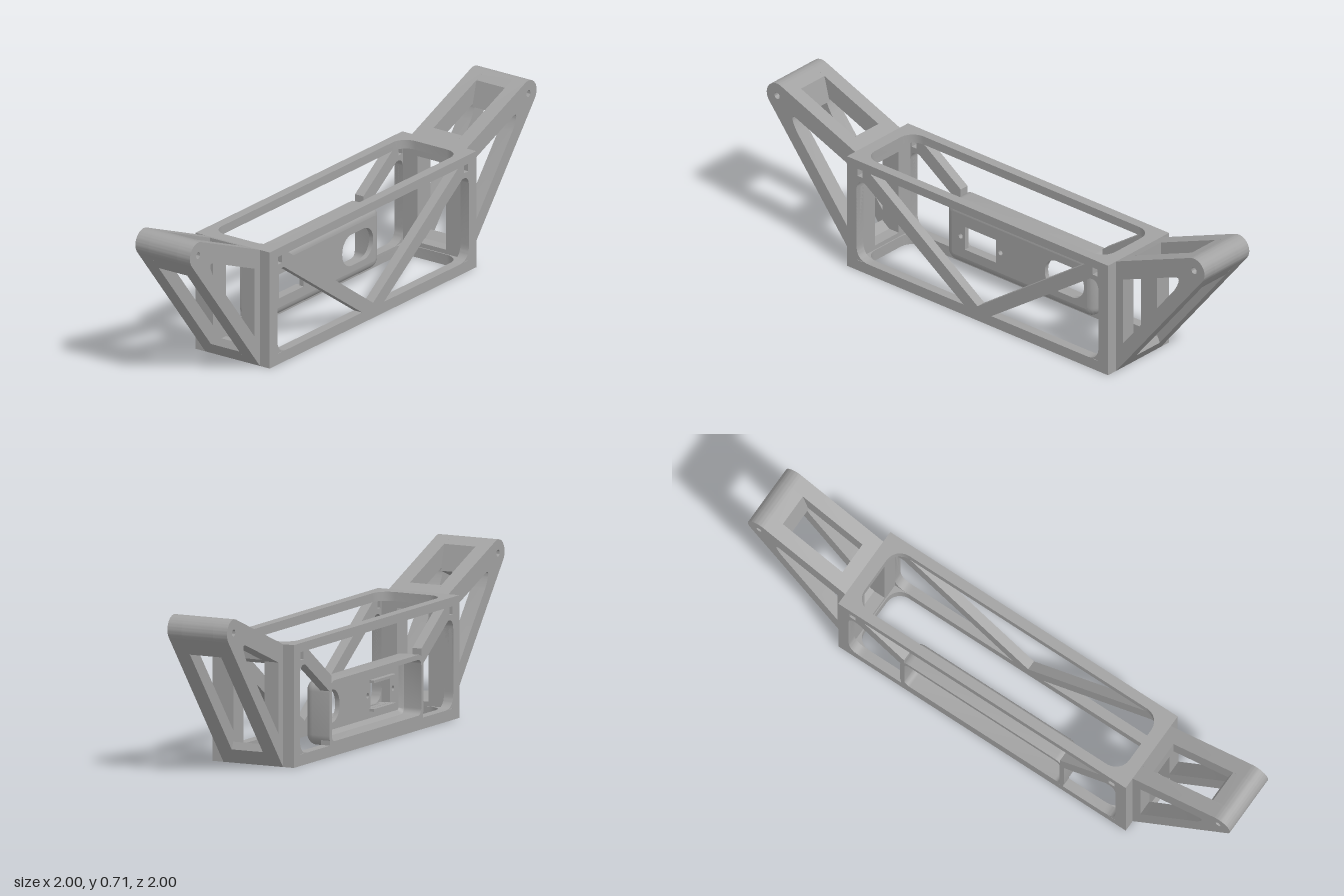
import * as THREE from 'three';
import { toCreasedNormals } from 'three/addons/utils/BufferGeometryUtils.js';

const grey = new THREE.MeshStandardMaterial({ color: 0xa2a2a2 });
grey.name = 'grey plastic';

const HALF_L = 0.755, HALF_W = 0.2, H = 0.54, RAIL = 0.045;

function mesh(name, geo) {
  const m = new THREE.Mesh(toCreasedNormals(geo, 0.6), grey);
  m.name = name;
  return m;
}

function poly(points, Type = THREE.Shape) {
  return new Type(points.map(([x, y]) => new THREE.Vector2(x, y)));
}

// counter-clockwise rounded rectangle points
function roundedPoints(cx, cy, hw, hh, r, n = 6) {
  const pts = [];
  [[1, -1], [1, 1], [-1, 1], [-1, -1]].forEach(([sx, sy], k) => {
    for (let i = 0; i <= n; i++) {
      const a = (k - 1 + i / n) * Math.PI / 2;
      pts.push([cx + sx * (hw - r) + r * Math.cos(a), cy + sy * (hh - r) + r * Math.sin(a)]);
    }
  });
  return pts;
}

const rect = (x0, y0, x1, y1) => [[x0, y0], [x1, y0], [x1, y1], [x0, y1]];

function circle(x, y, r) {
  const p = new THREE.Path();
  p.absarc(x, y, r, 0, Math.PI * 2, true);
  return p;
}

function extrude(shape, z0, z1) {
  const g = new THREE.ExtrudeGeometry(shape, { depth: z1 - z0, bevelEnabled: false, curveSegments: 12 });
  return g.translate(0, 0, z0);
}

// rectangular ring lying flat, with a rounded opening
function ring(name, y0, y1) {
  const s = poly(rect(-HALF_L, -HALF_W, HALF_L, HALF_W));
  s.holes.push(poly(roundedPoints(0, 0, 0.695, HALF_W - RAIL, 0.07), THREE.Path));
  return mesh(name, extrude(s, 0, y1 - y0).rotateX(Math.PI / 2).translate(0, y1, 0));
}

// long side with V bracing; the back one is interrupted by the panel tray
function longSide(name, z0, z1, hasTray) {
  const s = poly(rect(-HALF_L, 0, HALF_L, H));
  const mid = hasTray
    ? [[-0.41, 0.05], [0.41, 0.05], [0.41, 0.355], [0.62, 0.5], [-0.62, 0.5], [-0.41, 0.355]]
    : [[0, 0.07], [0.62, 0.5], [-0.62, 0.5]];
  s.holes.push(poly(mid, THREE.Path));
  for (const k of [-1, 1]) {
    const p = new THREE.Path();
    p.moveTo(k * (hasTray ? 0.425 : 0.08), 0.05);
    p.lineTo(k * 0.63, 0.05);
    p.quadraticCurveTo(k * 0.7, 0.05, k * 0.7, 0.12);
    p.lineTo(k * 0.7, 0.4);
    p.quadraticCurveTo(k * 0.695, 0.45, k * 0.65, 0.44);
    if (hasTray) p.lineTo(k * 0.425, 0.287);
    s.holes.push(p);
    // nut slots in the corners
    for (const [a, b] of [[0.028, 0.052], [0.465, 0.51]])
      s.holes.push(poly(rect(k * 0.68 - 0.015, a, k * 0.68 + 0.015, b), THREE.Path));
  }
  return mesh(name, extrude(s, z0, z1));
}

// short end wall with window and screw holes
function endWall(name, side) {
  const s = poly(rect(-HALF_W, 0, HALF_W, H));
  s.holes.push(poly(rect(-0.077, 0.07, 0.077, 0.47), THREE.Path));
  for (const w of [-0.175, 0.175]) for (const y of [0.06, 0.485]) s.holes.push(circle(w, y, 0.013));
  const x0 = side > 0 ? 0.7 : -HALF_L;
  return mesh(name, extrude(s, x0, x0 + 0.055).rotateY(Math.PI / 2));
}

// angled arm pointing along +x, symmetric in z
function arm(name) {
  const g = new THREE.Group();
  g.name = name;
  const cx = 1.206, cy = 0.655, r = 0.06;
  const lowAngle = -0.679, topAngle = 1.949; // tangent points on the rounded tip
  const at = a => [cx + r * Math.cos(a), cy + r * Math.sin(a)];

  for (const k of [-1, 1]) {
    const s = new THREE.Shape();
    s.moveTo(HALF_L, 0);
    s.lineTo(...at(lowAngle));
    s.absarc(cx, cy, r, lowAngle, topAngle, false);
    s.lineTo(HALF_L, H);
    const t = new THREE.Path();
    t.moveTo(0.795, 0.15);
    t.lineTo(1.09, 0.516);
    t.quadraticCurveTo(1.145, 0.604, 1.09, 0.582);
    t.lineTo(0.795, 0.465);
    s.holes.push(t, circle(cx, cy, 0.015));
    g.add(mesh('armSidePlate', extrude(s, k > 0 ? 0.077 : -0.147, k > 0 ? 0.147 : -0.077)));
  }

  // cross pieces between the side plates
  const tip = new THREE.Shape();
  tip.moveTo(1.1, 0.575);
  tip.lineTo(1.19, 0.54);
  tip.lineTo(...at(lowAngle));
  tip.absarc(cx, cy, r, lowAngle, topAngle, false);
  tip.lineTo(1.13, 0.689);
  g.add(mesh('armTip', extrude(tip, -0.077, 0.077)));
  const upper = poly([[HALF_L, 0.45], [0.817, 0.475], [0.817, 0.565], [HALF_L, H]]);
  g.add(mesh('armUpperBridge', extrude(upper, -0.077, 0.077)));
  const lower = poly([[HALF_L, 0], [0.81, 0.068], [0.795, 0.1], [HALF_L, 0.07]]);
  g.add(mesh('armLowerBridge', extrude(lower, -0.077, 0.077)));
  return g;
}

// shallow tray, open to the back, with rounded front edges
function panelTray() {
  const g = new THREE.Group();
  g.name = 'panelTray';
  const cy = 0.187, hw = 0.43, hh = 0.145, R = 0.04;
  const profile = [[0, -0.2], [0, -0.115]];
  for (let i = 1; i <= 6; i++) {
    const a = i / 6 * Math.PI / 2;
    profile.push([R * (1 - Math.cos(a)), -0.115 + R * Math.sin(a)]);
  }
  profile.push([R, -0.097], [0.022, -0.115], [0.022, -0.2]);
  const pos = [], idx = [];
  let n = 0;
  for (const [inset, z] of profile) {
    const pts = roundedPoints(0, cy, hw - inset, hh - inset, 0.05 - inset);
    n = pts.length;
    pts.forEach(([x, y]) => pos.push(x, y, z));
  }
  const rows = profile.length;
  for (let i = 0; i < rows; i++) for (let j = 0; j < n; j++) {
    const i2 = (i + 1) % rows, j2 = (j + 1) % n;
    const a = i * n + j, b = i * n + j2, c = i2 * n + j2, d = i2 * n + j;
    idx.push(a, b, c, a, c, d);
  }
  const geo = new THREE.BufferGeometry();
  geo.setAttribute('position', new THREE.Float32BufferAttribute(pos, 3));
  geo.setIndex(idx);
  geo.computeVertexNormals();
  g.add(mesh('trayRim', geo));

  // face with a square port, an oval port and screw holes
  const face = poly(roundedPoints(0, cy, hw - R, hh - R, 0.01));
  face.holes.push(poly(rect(-0.315, 0.125, -0.135, 0.237), THREE.Path));
  face.holes.push(poly(roundedPoints(0.26, 0.185, 0.113, 0.073, 0.07, 10), THREE.Path));
  for (const x of [-0.34, -0.11]) face.holes.push(circle(x, 0.183, 0.012));
  g.add(mesh('trayFace', extrude(face, -0.097, -0.075)));
  for (const y of [0.118, 0.244]) {
    g.add(mesh('portLip', new THREE.BoxGeometry(0.2, 0.012, 0.025).translate(-0.225, y, -0.108)));
  }
  return g;
}

export function createModel() {
  const model = new THREE.Group();
  model.name = 'bracedFrame';
  const body = new THREE.Group();
  body.name = 'frameBody';
  body.rotation.y = Math.PI / 4; // the frame stands diagonally
  model.add(body);

  body.add(ring('bottomRing', 0, 0.05), ring('topRing', 0.5, H));
  body.add(longSide('frontTruss', HALF_W - RAIL, HALF_W, false));
  body.add(longSide('backTruss', -HALF_W, -HALF_W + RAIL, true));
  body.add(endWall('leftEndWall', 1), endWall('rightEndWall', -1));
  body.add(panelTray());

  const rightArm = arm('rightArm');
  rightArm.rotation.y = Math.PI;
  body.add(arm('leftArm'), rightArm);
  return model;
}
